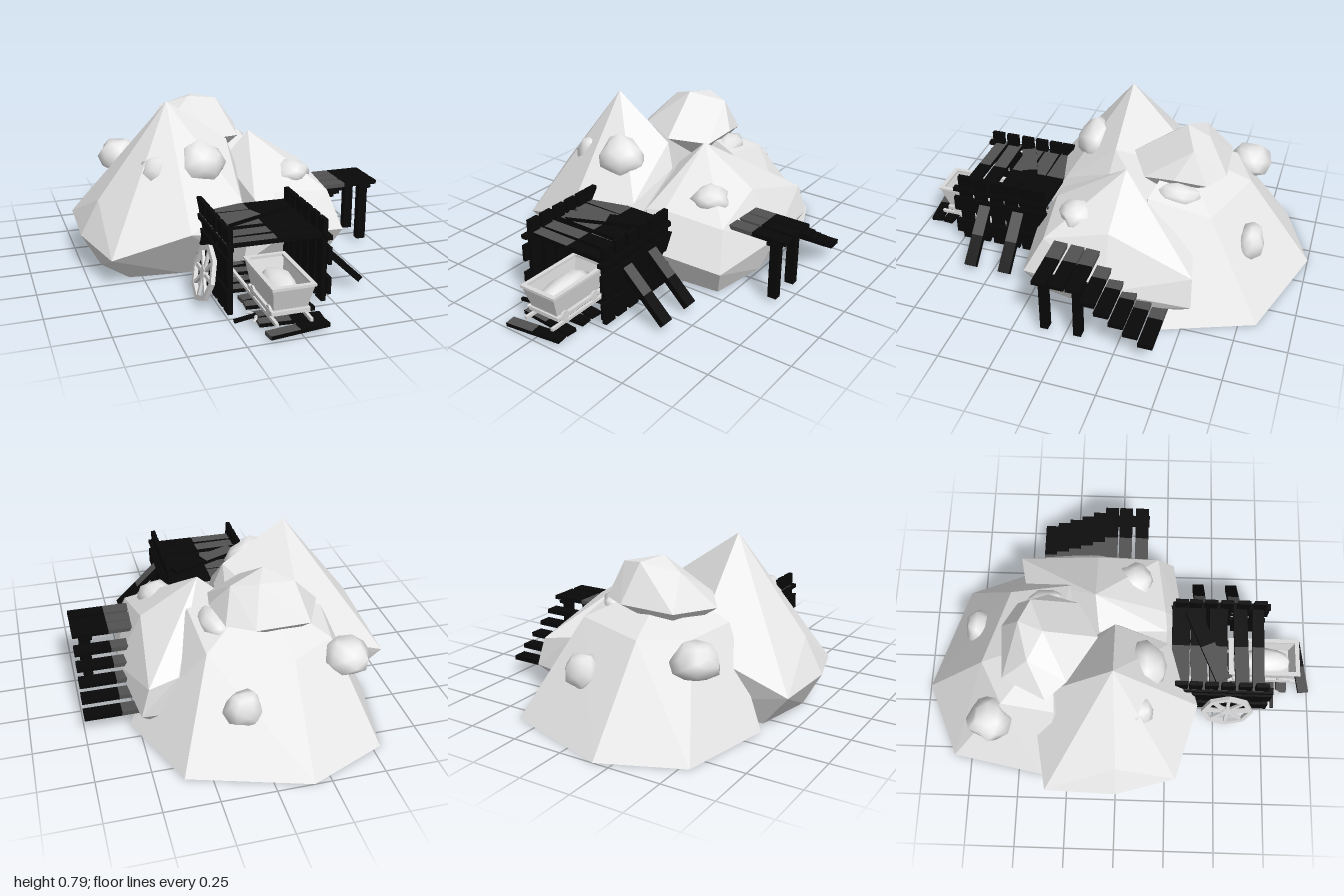
import * as THREE from 'three';
import { mergeVertices } from 'three/addons/utils/BufferGeometryUtils.js';
import { ConvexGeometry } from 'three/addons/geometries/ConvexGeometry.js';

const mat = (name, color, extra = {}) => {
  const m = new THREE.MeshStandardMaterial({ color, ...extra });
  m.name = name;
  return m;
};

export function createModel() {
  const rock = mat('rock', 0xeaeaea, { flatShading: true, side: THREE.DoubleSide });
  const stone = mat('loose stone', 0xe8e8e8);
  const metal = mat('pale metal', 0xdadada, { flatShading: true, side: THREE.DoubleSide });
  const woodGrey = mat('weathered wood', 0x525252);
  const woodDark = mat('dark wood', 0x080808);

  const model = new THREE.Group();
  model.name = 'mineEntrance';

  let seed = 7;
  const rand = () => (seed = (seed * 16807) % 2147483647) / 2147483647;

  const add = (parent, name, geometry, material, [x, y, z] = [0, 0, 0], [rx, ry, rz] = [0, 0, 0]) => {
    const m = new THREE.Mesh(geometry, material);
    m.name = name;
    m.position.set(x, y, z);
    m.rotation.set(rx, ry, rz);
    parent.add(m);
    return m;
  };
  const box = (parent, name, size, material, pos, rot) =>
    add(parent, name, new THREE.BoxGeometry(...size), material, pos, rot);

  // Plank along x, weathered on its -x half; its long edges may differ
  const plank = (parent, name, [l, h, d], pos, rot = [0, 0, 0], edge = woodDark) => {
    const g = new THREE.Group();
    g.name = name;
    box(g, 'weatheredHalf', [l / 2, h, d],
      [woodGrey, woodGrey, woodGrey, woodGrey, edge, edge], [-l / 4, 0, 0]);
    box(g, 'darkHalf', [l / 2, h, d], woodDark, [l / 4, 0, 0]);
    g.position.set(...pos);
    g.rotation.set(...rot);
    parent.add(g);
  };

  // Faceted hollow rocks: the hull of the corners without the faces on the ground
  const hull = (name, pts) => {
    const p = new ConvexGeometry(pts.map(c => new THREE.Vector3(...c))).attributes.position;
    const kept = [];
    for (let i = 0; i < p.count; i += 3) {
      if (p.getY(i) + p.getY(i + 1) + p.getY(i + 2) < 0.001) continue;
      for (let j = i; j < i + 3; j++) kept.push(p.getX(j), p.getY(j), p.getZ(j));
    }
    const g = new THREE.BufferGeometry();
    g.setAttribute('position', new THREE.Float32BufferAttribute(kept, 3));
    g.computeVertexNormals();
    add(model, name, g, rock);
  };
  hull('leftPeak', [
    [-0.31, 0.79, -0.02], [-0.66, 0.335, 0], [-0.75, 0.165, 0], [-0.74, 0.17, -0.35],
    [-0.66, 0.14, 0.3], [-0.31, 0.26, 0.4], [-0.01, 0.2, 0.33], [-0.01, 0.58, -0.02],
    [0.03, 0.46, 0], [-0.02, 0.35, 0.25], [-0.31, 0.35, -0.42], [-0.66, 0, 0],
    [-0.6, 0, -0.3], [-0.56, 0, 0.19], [-0.31, 0, 0.22], [0, 0, 0.22], [0, 0, -0.35],
  ]);
  hull('rightPeak', [
    [0.14, 0.585, -0.12], [0.42, 0.41, -0.12], [0.55, 0.17, -0.14], [0.5, 0.15, 0.28],
    [0.17, 0.18, 0.33], [0.05, 0.34, 0.24], [0.15, 0.36, 0.23], [0.45, 0.33, 0.19],
    [0.5, 0.14, -0.54], [0.46, 0.28, -0.53], [0.32, 0.3, -0.5], [0.49, 0, -0.1],
    [0.44, 0, 0.2], [-0.02, 0, 0.24], [0.4, 0, -0.42], [0, 0, -0.4], [0, 0.45, -0.1],
  ]);
  hull('backSlope', [
    [-0.17, 0, -1], [-0.54, 0, -0.84], [0.37, 0, -0.83], [0.54, 0, -0.4], [-0.63, 0, -0.38],
    [-0.17, 0.43, -0.67], [-0.38, 0.44, -0.56], [0.2, 0.44, -0.55], [0.22, 0.5, -0.25],
    [-0.1, 0.6, -0.32], [-0.42, 0.45, -0.3], [0.1, 0, -0.1], [-0.3, 0, -0.1],
  ]);
  hull('topBoulder', [
    [-0.11, 0.73, -0.35], [0.06, 0.695, -0.42], [-0.06, 0.715, -0.47], [-0.24, 0.68, -0.42],
    [-0.28, 0.53, -0.55], [-0.02, 0.54, -0.57], [0.1, 0.54, -0.5], [0.14, 0.57, -0.35],
    [0.11, 0.54, -0.2], [-0.07, 0.56, -0.1], [-0.3, 0.56, -0.24], [-0.38, 0.52, -0.34],
    [0, 0.4, -0.3], [-0.2, 0.4, -0.42],
  ]);

  // Loose lumpy stones
  const lump = (parent, name, pos, [sx, sy, sz]) => {
    let g = new THREE.IcosahedronGeometry(1, 1);
    g.deleteAttribute('normal');
    g.deleteAttribute('uv');
    g = mergeVertices(g);
    const p = g.attributes.position;
    for (let i = 0; i < p.count; i++) {
      const k = 0.8 + 0.36 * rand();
      p.setXYZ(i, p.getX(i) * k * sx, p.getY(i) * k * sy, p.getZ(i) * k * sz);
    }
    g.computeVertexNormals();
    add(parent, name, g, stone, pos);
  };
  [
    [[-0.4, 0.49, 0.11], [0.07, 0.075, 0.065]], [[-0.19, 0.51, 0.135], [0.12, 0.11, 0.1]],
    [[0.3, 0.4, 0.07], [0.09, 0.07, 0.105]], [[-0.44, 0.37, -0.62], [0.105, 0.09, 0.1]],
    [[0.08, 0.25, -0.73], [0.085, 0.09, 0.07]], [[0.12, 0.475, -0.37], [0.08, 0.07, 0.115]],
  ].forEach(([pos, size], i) => lump(model, 'looseStone' + (i + 1), pos, size));

  // Timber entrance: side walls of upright boards with long rails
  const porch = new THREE.Group();
  porch.name = 'timberEntrance';
  model.add(porch);
  for (const [side, x, out] of [['right', -0.238, -1], ['left', 0.195, 1]]) {
    [0.711, 0.628, 0.542, 0.462, 0.383, 0.312].forEach(z =>
      box(porch, side + 'WallBoard', [0.022, 0.385, 0.064], woodDark, [x, 0.21, z]));
    [0.1, 0.24].forEach(y =>
      box(porch, side + 'WallRail', [0.018, 0.08, 0.51], woodDark, [x + out * 0.014, y, 0.515]));
    box(porch, side + 'TopRail', [0.03, 0.02, 0.5], woodDark, [x + out * 0.008, 0.326, 0.52]);
  }
  // Roof planks, one lying loose across the gap
  [[0.7, 0.06], [0.615, 0.07], [0.5, 0.09], [0.4, 0.08], [0.31, 0.09]].forEach(([z, d], i) =>
    plank(porch, 'roofPlank', [0.46, 0.022, d], [-0.02, 0.328, z], [0, (i % 2 - 0.5) * 0.03, 0]));
  plank(porch, 'looseRoofPlank', [0.39, 0.02, 0.075], [-0.02, 0.348, 0.445], [0, 0.4, 0]);
  // Slanted braces
  [0.42, 0.6].forEach(z =>
    plank(porch, 'brace', [0.31, 0.03, 0.06], [0.318, 0.145, z], [0, 0, -0.76]));

  // Track running into the hill
  const track = new THREE.Group();
  track.name = 'track';
  model.add(track);
  [0.96, 0.87, 0.79, 0.7, 0.61, 0.52, 0.43, 0.34, 0.25].forEach((z, i) =>
    plank(track, 'sleeper', [0.28, 0.018, 0.055], [-0.015, 0.024, z],
      [0, [0.13, -0.08, 0.05, -0.1][i % 4], 0]));
  [-0.098, 0.058].forEach(x =>
    box(track, 'rail', [0.014, 0.016, 0.98], metal, [x, 0.04, 0.445]));

  // Ore cart
  const cart = new THREE.Group();
  cart.name = 'oreCart';
  cart.position.set(-0.022, 0, 0.75);
  model.add(cart);
  const tub = new THREE.CylinderGeometry(Math.SQRT1_2, Math.SQRT1_2 * 0.8, 1, 4, 1, true);
  tub.rotateY(Math.PI / 4).scale(0.19, 0.115, 0.36);
  add(cart, 'tub', tub, metal, [0, 0.143, 0]);
  box(cart, 'tubFloor', [0.15, 0.008, 0.29], metal, [0, 0.088, 0]);
  box(cart, 'chassis', [0.175, 0.018, 0.3], metal, [0, 0.072, 0]);
  for (const s of [-1, 1]) {
    box(cart, 'sideRim', [0.02, 0.012, 0.366], metal, [s * 0.089, 0.196, 0]);
    box(cart, 'endRim', [0.16, 0.012, 0.022], metal, [0, 0.196, s * 0.172]);
    for (const z of [-0.1, 0.1])
      add(cart, 'cartWheel', new THREE.CylinderGeometry(0.025, 0.025, 0.014, 10), metal,
        [s * 0.079, 0.07, z], [0, 0, Math.PI / 2]);
  }
  lump(cart, 'ore', [0, 0.135, 0], [0.07, 0.055, 0.14]);

  // Spoked wheel leaning on the wall
  const wheel = new THREE.Group();
  wheel.name = 'leaningWheel';
  wheel.position.set(-0.3, 0.145, 0.56);
  wheel.rotation.set(0, Math.PI / 2, -0.24, 'ZYX');
  model.add(wheel);
  const ring = new THREE.Shape().absarc(0, 0, 0.132, 0, Math.PI * 2);
  ring.holes.push(new THREE.Path().absarc(0, 0, 0.108, 0, Math.PI * 2, true));
  add(wheel, 'wheelRim', new THREE.ExtrudeGeometry(ring,
    { depth: 0.02, bevelEnabled: false, curveSegments: 4 }), metal, [0, 0, -0.01]);
  add(wheel, 'wheelHub', new THREE.CylinderGeometry(0.028, 0.028, 0.022, 8), metal,
    [0, 0, 0], [Math.PI / 2, 0, 0]);
  for (let i = 0; i < 4; i++)
    box(wheel, 'spokePair', [0.23, 0.016, 0.014], metal, [0, 0, 0], [0, 0, i * Math.PI / 4]);

  // Pickaxe lying by the track
  const pick = new THREE.Group();
  pick.name = 'pickaxe';
  pick.position.set(-0.15, 0.035, 0.81);
  pick.rotation.z = 0.15;
  model.add(pick);
  box(pick, 'handle', [0.1, 0.014, 0.016], woodDark, [-0.045, 0, 0]);
  add(pick, 'head', new THREE.TorusGeometry(0.06, 0.007, 4, 8, 1.6), metal,
    [-0.06, 0, 0], [Math.PI / 2, 0, -0.8]);

  // Side platform with descending steps
  const platform = new THREE.Group();
  platform.name = 'sidePlatform';
  model.add(platform);
  [0.1, 0.015, -0.06].forEach(z =>
    plank(platform, 'deckPlank', [0.35, 0.02, 0.068], [0.573, 0.324, z], [0, 0, 0], woodGrey));
  [[-0.125, 0.264], [-0.19, 0.218], [-0.258, 0.174], [-0.325, 0.132], [-0.395, 0.09]].forEach(([z, y]) =>
    plank(platform, 'step', [0.35, 0.022, 0.07], [0.573, y, z], [0, 0, 0], woodGrey));
  [0.1, -0.062].forEach(z =>
    box(platform, 'platformPost', [0.045, 0.295, 0.038], woodDark, [0.685, 0.163, z]));
  box(platform, 'platformBeam', [0.06, 0.016, 0.24], woodDark, [0.685, 0.306, 0.02]);

  return model;
}
